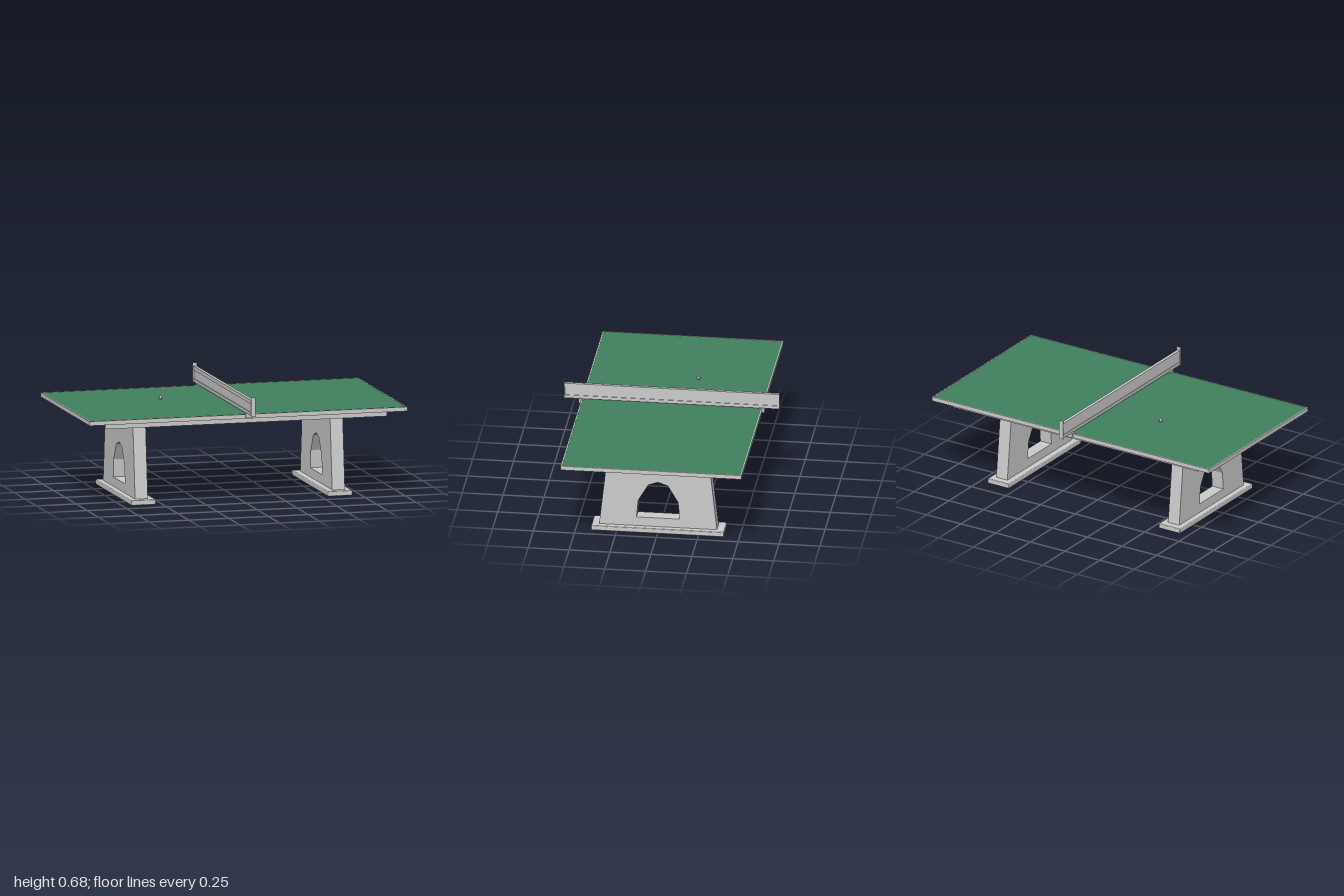
import * as THREE from 'three';
import { RoundedBoxGeometry } from 'three/addons/geometries/RoundedBoxGeometry.js';

export function createModel() {
  const model = new THREE.Group();
  model.name = 'tableTennisTable';
  const grey = new THREE.MeshStandardMaterial({ color: 0xcccccc, flatShading: true });
  const green = new THREE.MeshStandardMaterial({ color: 0x40805f, flatShading: true });

  function add(name, geometry, x = 0, y = 0, z = 0, material = grey) {
    const mesh = new THREE.Mesh(geometry, material);
    mesh.name = name;
    mesh.position.set(x, y, z);
    model.add(mesh);
    return mesh;
  }
  // Box given by its lower and upper limits in x, y and z
  function box(name, [x0, x1], [y0, y1], [z0, z1], material = grey) {
    return add(name, new THREE.BoxGeometry(x1 - x0, y1 - y0, z1 - z0),
      (x0 + x1) / 2, (y0 + y1) / 2, (z0 + z1) / 2, material);
  }

  // Playing surface in two halves, meeting along the centre line
  box('leftPanel', [-0.993, 0.993], [0.53, 0.555], [0, 0.546], green);
  box('rightPanel', [-0.993, 0.993], [0.53, 0.555], [-0.546, 0], green);

  // Tapered leg panel with an arched opening, in the z-y plane
  const legShape = new THREE.Shape([
    [-0.36, 0.033], [0.36, 0.033], [0.305, 0.532], [-0.305, 0.532],
  ].map(([z, y]) => new THREE.Vector2(z, y)));
  legShape.holes.push(new THREE.Path([
    [-0.132, 0.09], [-0.122, 0.2], [-0.06, 0.306], [0, 0.327],
    [0.06, 0.306], [0.122, 0.2], [0.132, 0.09],
  ].map(([z, y]) => new THREE.Vector2(z, y))));
  const legGeometry = new THREE.ExtrudeGeometry(legShape, { depth: 0.08, bevelEnabled: false });
  legGeometry.translate(0, 0, -0.04).rotateY(Math.PI / 2);
  const footGeometry = new RoundedBoxGeometry(0.155, 0.032, 0.81, 2, 0.006);

  for (const s of [-1, 1]) {
    // Edging round the playing surface
    box('endEdge', s < 0 ? [-1, -0.993] : [0.993, 1], [0.53, 0.556], [-0.553, 0.553]);
    box('sideEdge', [-0.993, 0.993], [0.53, 0.556], s < 0 ? [-0.553, -0.546] : [0.546, 0.553]);

    // Legs and feet
    add('leg', legGeometry, s * 0.62);
    add('foot', footGeometry, s * 0.618, 0.017, 0);

    // Long rails under the surface
    add('rail', new THREE.BoxGeometry(1.77, 0.037, 0.026), 0, 0.5135, s * 0.485);

    // Net clamp and end post
    add('netClamp', new THREE.BoxGeometry(0.04, 0.028, 0.036), 0, 0.549, s * 0.55);
    add('netPost', new THREE.BoxGeometry(0.028, 0.12, 0.004), 0, 0.617, s * 0.656);
  }

  // Net with thicker tape along its top and bottom
  box('net', [-0.006, 0.006], [0.565, 0.65], [-0.655, 0.655]);
  box('netTopTape', [-0.01, 0.01], [0.633, 0.657], [-0.655, 0.655]);
  box('netBottomTape', [-0.01, 0.01], [0.56, 0.58], [-0.655, 0.655]);

  // Ball resting on the surface
  add('ball', new THREE.SphereGeometry(0.012, 8, 6), -0.368, 0.567, -0.115);

  return model;
}
